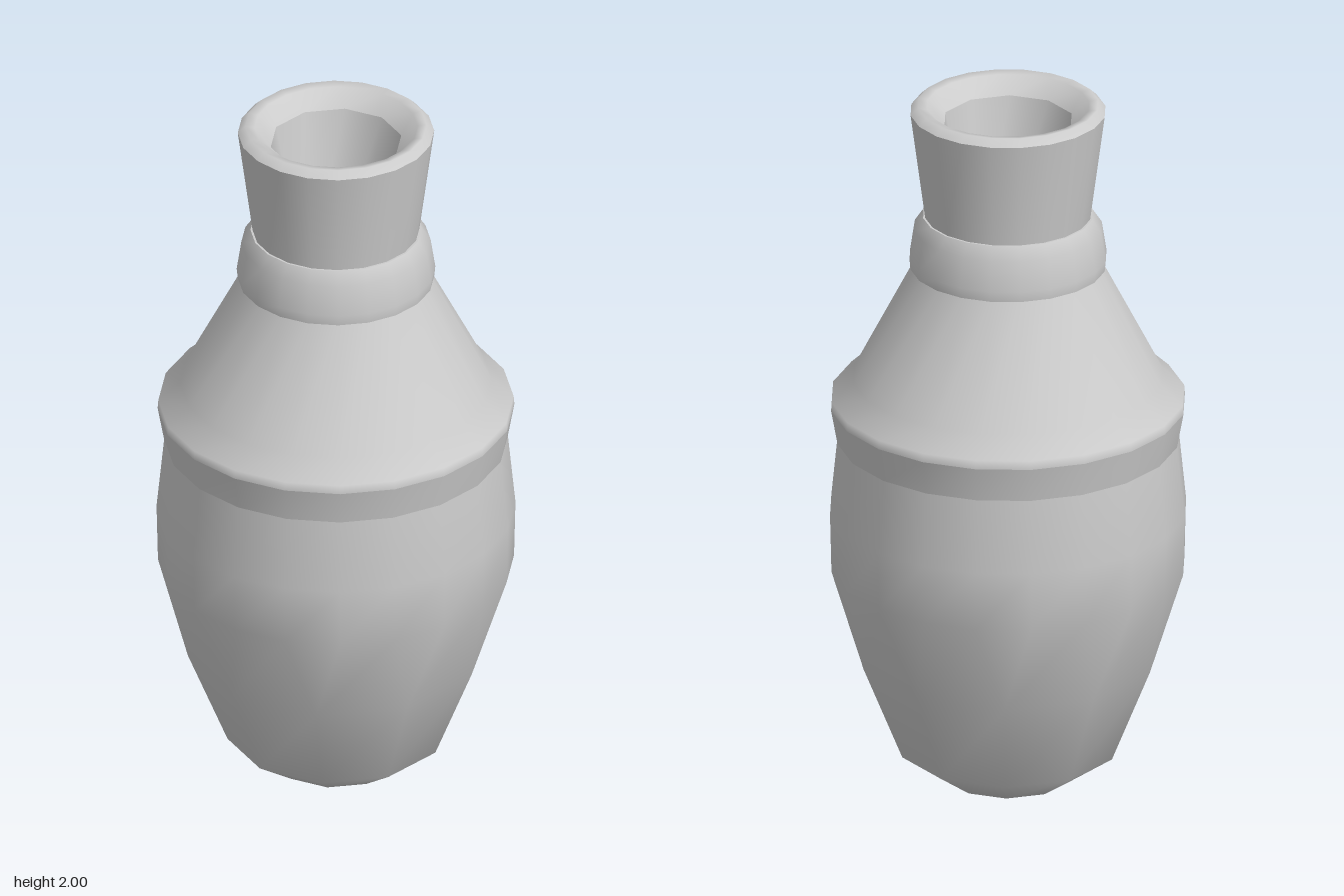
import * as THREE from 'three';
import { mergeVertices } from 'three/addons/utils/BufferGeometryUtils.js';

const SIDES = 20;
const material = new THREE.MeshStandardMaterial({ color: 0xcccccc });

// Skin rings [radius, y, halved]; a halved ring joins its corners in pairs, giving 10 sides.
function turned(name, rings) {
  const positions = [];
  const index = [];
  for (const [r, y, halved] of rings) {
    for (let j = 0; j < SIDES; j++) {
      const step = halved ? Math.floor(j / 2) * 2 + 0.5 : j;
      const a = (step / SIDES) * Math.PI * 2;
      positions.push(r * Math.cos(a), y, r * Math.sin(a));
    }
  }
  for (let i = 0; i < rings.length - 1; i++) {
    for (let j = 0; j < SIDES; j++) {
      const k = (j + 1) % SIDES;
      const a = i * SIDES + j, b = i * SIDES + k;
      const c = a + SIDES, d = b + SIDES;
      index.push(a, c, b, b, c, d);
    }
  }
  let geometry = new THREE.BufferGeometry();
  geometry.setAttribute('position', new THREE.Float32BufferAttribute(positions, 3));
  geometry.setIndex(index);
  geometry = mergeVertices(geometry, 1e-4);
  // Drop the triangles that closed up where corners were joined
  const kept = [];
  const old = geometry.index.array;
  for (let i = 0; i < old.length; i += 3) {
    const [a, b, c] = [old[i], old[i + 1], old[i + 2]];
    if (a !== b && b !== c && a !== c) kept.push(a, b, c);
  }
  geometry.setIndex(kept);
  geometry.computeVertexNormals();
  const mesh = new THREE.Mesh(geometry, material);
  mesh.name = name;
  return mesh;
}

export function createModel() {
  const vase = new THREE.Group();
  vase.name = 'vase';

  // Belly tapering to a ten-sided foot with a closed base
  vase.add(turned('body', [
    [0, 0, true], [0.178, 0, true], [0.304, 0.085, true], [0.415, 0.36, true],
    [0.491, 0.63], [0.495, 0.8], [0.474, 1.01],
  ]));

  // Raised band and sloping shoulder
  vase.add(turned('band', [[0.474, 1.01], [0.492, 1.11]]));
  vase.add(turned('shoulder', [[0.492, 1.11], [0.49, 1.135], [0.43, 1.19], [0.26, 1.52]]));

  // Collar around the base of the neck
  vase.add(turned('collarUnderside', [[0.25, 1.52], [0.271, 1.52]]));
  vase.add(turned('collar', [[0.271, 1.52], [0.274, 1.55], [0.261, 1.635], [0.236, 1.672]]));
  vase.add(turned('collarTop', [[0.236, 1.672], [0.22, 1.672]]));

  // Flared neck with a rounded rim
  vase.add(turned('neck', [[0.23, 1.67], [0.271, 1.98]]));
  vase.add(turned('rim', [[0.271, 1.98], [0.25, 2], [0.225, 1.995], [0.183, 1.95, true]]));

  // Opening narrowing to a flat floor
  vase.add(turned('bore', [[0.183, 1.95, true], [0.11, 1.6, true]]));
  vase.add(turned('boreFloor', [[0.11, 1.6, true], [0, 1.6, true]]));

  return vase;
}
